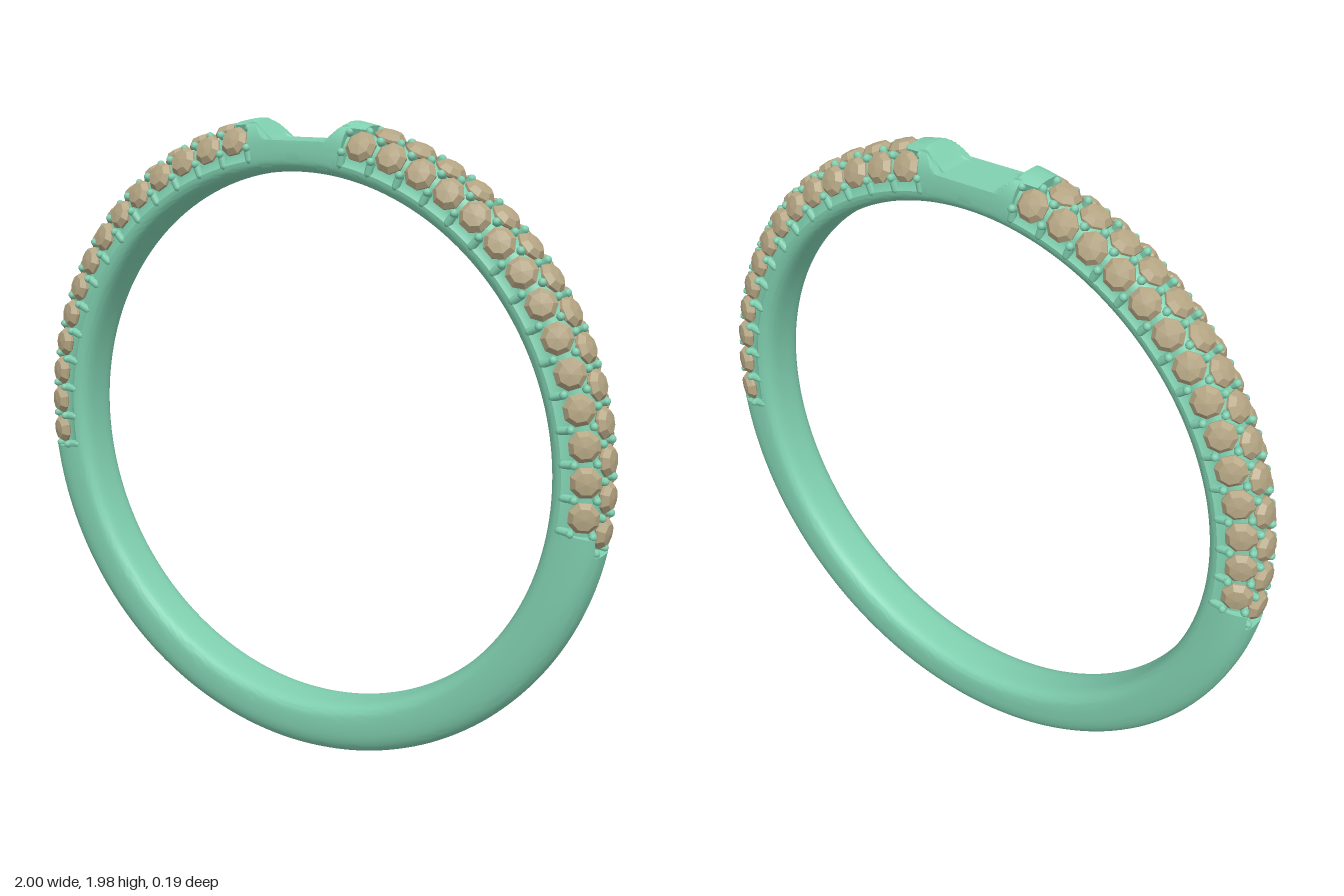
import * as THREE from 'three';
import { mergeGeometries, toCreasedNormals } from 'three/addons/utils/BufferGeometryUtils.js';

const CY = 0.997;               // height of the ring's centre
const D = Math.PI / 180;
const COLS = 48;                // points around the band's section
const PITCH = 6.2, COUNT = 14;  // stone spacing (degrees) and stones per row
const TILT = 62 * D;            // lean of the side rows

const spow = (v, p) => Math.sign(v) * Math.abs(v) ** p;

// Height limit that cuts the flat notch with sloping ends at the top
const notch = (x) => 1.92 + Math.max(0, Math.abs(x) - 0.1) * 0.95;

// Section point [radius, z]; seat = recessed bed under the stones
function section(a, seat) {
  const c = Math.cos(a), s = Math.sin(a);
  if (c < -1e-6) return [0.89 + 0.06 * spow(c, 0.6), 0.083 * spow(s, 0.6)];
  return seat
    ? [0.89 + 0.075 * spow(c, 0.75), 0.07 * spow(s, 0.75)]
    : [0.89 + 0.105 * spow(c, 0.75), 0.083 * spow(s, 0.75)];
}

function bandGeometry() {
  // Arcs in degrees: notch, left bed, plain lower band, right bed
  const arcs = [[80, 100, 48, 0], [100, 187.5, 60, 1], [187.5, 352.5, 90, 0], [352.5, 440, 60, 1]];
  const pos = [], idx = [];
  let rows = 0;
  for (const [from, to, n, seat] of arcs) {
    for (let i = 0; i <= n; i++, rows++) {
      const deg = from + (to - from) * i / n;
      // The middle row of stones is staggered by half a pitch
      const stagger = -3.1 * THREE.MathUtils.clamp(Math.cos(deg * D) / Math.cos(80 * D), -1, 1);
      for (let j = 0; j < COLS; j++) {
        const a = j / COLS * Math.PI * 2;
        const [r, z] = section(a, seat);
        const t = (deg + (Math.cos(a) > 0.8 ? stagger : 0)) * D;
        const x = r * Math.cos(t);
        pos.push(x, Math.min(CY + r * Math.sin(t), notch(x)), z);
      }
    }
  }
  for (let i = 0; i < rows; i++) {
    for (let j = 0; j < COLS; j++) {
      const k = (j + 1) % COLS, n = (i + 1) % rows;
      const a = i * COLS + j, b = n * COLS + j, c = n * COLS + k, d = i * COLS + k;
      idx.push(a, b, d, b, c, d);
    }
  }
  const g = new THREE.BufferGeometry();
  g.setAttribute('position', new THREE.Float32BufferAttribute(pos, 3));
  g.setIndex(idx);
  return toCreasedNormals(g, 0.6);
}

// Frame on the ring: local x runs along the band, local y points out of the stone
function frame(deg, tilt, r, z) {
  const t = deg * D;
  const out = new THREE.Vector3(Math.cos(t), Math.sin(t), 0);
  const along = new THREE.Vector3(-Math.sin(t), Math.cos(t), 0);
  const normal = out.clone().multiplyScalar(Math.cos(tilt));
  normal.z = Math.sin(tilt);
  return new THREE.Matrix4()
    .makeBasis(along, normal, along.clone().cross(normal))
    .setPosition(out.x * r, CY + out.y * r, z);
}

export function createModel() {
  const ring = new THREE.Group();
  ring.name = 'ring';
  const metal = new THREE.MeshStandardMaterial({ color: 0x80d0b0 });
  const gem = new THREE.MeshStandardMaterial({ color: 0xb5a684, flatShading: true });
  const add = (geometry, material, name) => {
    const mesh = new THREE.Mesh(geometry, material);
    mesh.name = name;
    ring.add(mesh);
  };

  add(bandGeometry(), metal, 'band');

  // Faceted stone: point, girdle, crown and table
  const stone = new THREE.LatheGeometry(
    [[0, -0.035], [0.046, -0.006], [0.047, 0.002], [0.033, 0.018], [0, 0.022]]
      .map(([x, y]) => new THREE.Vector2(x, y)), 8);
  stone.rotateY(Math.PI / 8);
  const bead = new THREE.CapsuleGeometry(0.0125, 0.03, 3, 7);

  // Rows: front, middle and back
  const rowList = [
    { name: 'front', tilt: TILT, r: 0.938, z: 0.065, start: -4 },
    { name: 'middle', tilt: 0, r: 0.976, z: 0, start: -7.1 },
    { name: 'back', tilt: -TILT, r: 0.938, z: -0.065, start: -4 },
  ];
  for (const side of ['left', 'right']) {
    const place = (deg) => (side === 'left' ? deg : 180 - deg);
    for (const row of rowList) {
      const stones = [], prongs = [];
      for (let i = 0; i < COUNT; i++) {
        const m = frame(place(row.start + i * PITCH), row.tilt, row.r, row.z);
        stones.push(stone.clone().applyMatrix4(m));
      }
      // Prongs stand in the corners between neighbouring stones
      for (let i = 0; i <= COUNT; i++) {
        const m = frame(place(row.start + (i - 0.5) * PITCH), row.tilt, row.r, row.z);
        for (const s of [-1, 1]) {
          prongs.push(bead.clone().translate(0, -0.012, s * 0.032).applyMatrix4(m));
          // Side rows have fingers running down to the inner edge
          if (row.tilt * s < 0) {
            prongs.push(bead.clone().rotateX(-s * TILT)
              .translate(0, -0.013, s * 0.047).applyMatrix4(m));
          }
        }
      }
      add(mergeGeometries(stones), gem, `${side} ${row.name} stones`);
      add(mergeGeometries(prongs), metal, `${side} ${row.name} prongs`);
    }
  }
  return ring;
}
